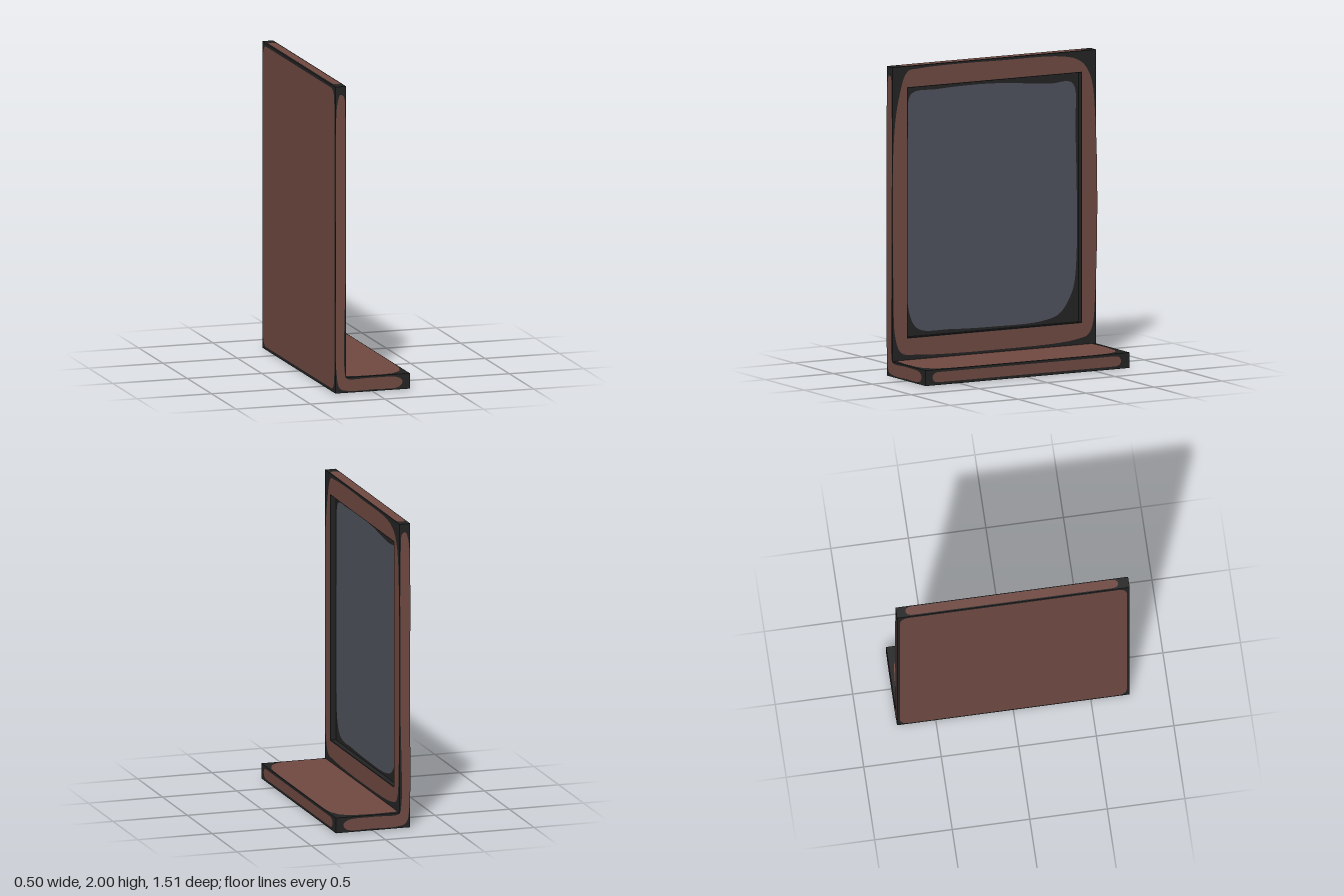
import * as THREE from 'three';

const V = (x, y) => new THREE.Vector2(x, y);
const LIFT = 0.002;

// Closed outline, softly rounded through the given points
function softShape(pts) {
  const curve = new THREE.CatmullRomCurve3(
    pts.map(([x, y]) => new THREE.Vector3(x, y, 0)), true, 'centripetal');
  return new THREE.Shape(curve.getPoints(120).slice(0, -1).map((p) => V(p.x, p.y)));
}

// Rectangle with cut corners; becomes rounded when softened
function rounded(x0, y0, x1, y1, rx, ry = rx) {
  const s = new THREE.Shape();
  s.moveTo(x0 + rx, y0);
  s.lineTo(x1 - rx, y0);
  s.quadraticCurveTo(x1, y0, x1, y0 + ry);
  s.lineTo(x1, y1 - ry);
  s.quadraticCurveTo(x1, y1, x1 - rx, y1);
  s.lineTo(x0 + rx, y1);
  s.quadraticCurveTo(x0, y1, x0, y1 - ry);
  s.lineTo(x0, y0 + ry);
  s.quadraticCurveTo(x0, y0, x0 + rx, y0);
  return s;
}

function rect(Type, x0, y0, x1, y1) {
  return new Type([V(x0, y0), V(x1, y0), V(x1, y1), V(x0, y1)]);
}

export function createModel() {
  const model = new THREE.Group();
  model.name = 'bookend';

  const brown = new THREE.MeshStandardMaterial({ color: 0x6e4840 });
  brown.name = 'reddish brown';
  const slate = new THREE.MeshStandardMaterial({ color: 0x4c5059 });
  slate.name = 'slate grey';
  const dark = new THREE.MeshStandardMaterial({ color: 0x222222 });
  dark.name = 'worn black';

  function add(name, geometry, material, position, rotation = [0, 0, 0]) {
    const mesh = new THREE.Mesh(geometry, material);
    mesh.name = name;
    mesh.position.set(...position);
    mesh.rotation.set(...rotation);
    model.add(mesh);
    return mesh;
  }
  const paint = (name, shape, material, position, rotation) =>
    add(name, new THREE.ShapeGeometry(shape, 8), material, position, rotation);

  const toRight = [0, Math.PI / 2, 0]; // local x runs along -z
  const toLeft = [0, -Math.PI / 2, 0];

  // Solid body: backing panel, raised frame around the recess, and shelf
  add('backPanel', new THREE.BoxGeometry(0.037, 2, 1.5), dark, [-0.2315, 1, 0]);
  const frameShape = rect(THREE.Shape, -0.75, 0, 0.75, 2);
  frameShape.holes.push(rect(THREE.Path, -0.64, 0.245, 0.64, 1.86));
  add('frame', new THREE.ExtrudeGeometry(frameShape, { depth: 0.035, bevelEnabled: false }),
    dark, [-0.213, 0, 0], toRight);
  add('shelf', new THREE.BoxGeometry(0.428, 0.1, 1.5), dark, [0.036, 0.05, 0]);

  // Frame face, brown with worn outer corners
  const frameFace = softShape([
    [-0.64, 1.965], [-0.705, 1.79], [-0.742, 1.5], [-0.744, 0.6], [-0.727, 0.24],
    [-0.685, 0.15], [-0.56, 0.13], [0, 0.118], [0.6, 0.138], [0.7, 0.175],
    [0.744, 0.49], [0.744, 1.53], [0.7, 1.85], [0.605, 1.95], [0, 1.985], [-0.56, 1.98],
  ]);
  frameFace.holes.push(rect(THREE.Path, -0.645, 0.24, 0.645, 1.865));
  paint('frameFace', frameFace, brown, [-0.178 + LIFT, 0, 0], toRight);

  // Recessed slate pane with an uneven edge
  paint('pane', softShape([
    [-0.595, 1.81], [-0.4, 1.83], [0, 1.835], [0.42, 1.8], [0.595, 1.79], [0.615, 1.5],
    [0.62, 0.6], [0.59, 0.44], [0.5, 0.31], [0.37, 0.27], [0, 0.262], [-0.3, 0.27],
    [-0.54, 0.29], [-0.605, 0.39], [-0.625, 0.81], [-0.615, 1.6],
  ]), slate, [-0.213 + LIFT, 0, 0], toRight);

  // Back face
  paint('backFace', rounded(-0.732, 0.02, 0.732, 1.98, 0.06, 0.1), brown,
    [-0.25 - LIFT, 0, 0], toLeft);

  // L-shaped end faces, mirrored front and back
  const end = [
    [-0.246, 1.78], [-0.235, 1.9], [-0.218, 1.945], [-0.195, 1.935], [-0.186, 1.84],
    [-0.184, 0.8], [-0.184, 0.11], [-0.17, 0.091], [0, 0.089], [0.17, 0.08], [0.2, 0.055],
    [0.18, 0.02], [0, 0.012], [-0.16, 0.012], [-0.22, 0.03], [-0.244, 0.14], [-0.247, 0.8],
  ];
  paint('frontEndFace', softShape(end), brown, [0, 0, 0.75 + LIFT]);
  paint('backEndFace', softShape(end.map(([x, y]) => [-x, y])), brown,
    [0, 0, -0.75 - LIFT], [0, Math.PI, 0]);

  // Shelf top, front edge and underside
  const shelfTop = new THREE.Shape([
    [-0.176, -0.72], [-0.06, -0.738], [0.08, -0.736], [0.15, -0.722], [0.21, -0.67],
    [0.24, -0.58], [0.246, -0.4], [0.246, 0.5], [0.236, 0.6], [0.2, 0.68], [0.12, 0.718],
    [-0.016, 0.73], [-0.176, 0.72],
  ].map(([x, y]) => V(x, y)));
  paint('shelfTop', shelfTop, brown, [0, 0.1 + LIFT, 0], [-Math.PI / 2, 0, 0]);
  paint('shelfEdge', rounded(-0.7, 0.018, 0.685, 0.084, 0.05, 0.032), brown,
    [0.25 + LIFT, 0, 0], toRight);
  paint('underside', rounded(-0.238, -0.73, 0.238, 0.73, 0.1, 0.14), brown,
    [0, -LIFT, 0], [Math.PI / 2, 0, 0]);

  // Top edge of the frame
  paint('topEdge', rounded(-0.242, -0.68, -0.184, 0.69, 0.028, 0.05), brown,
    [0, 2 + LIFT, 0], [-Math.PI / 2, 0, 0]);

  return model;
}
